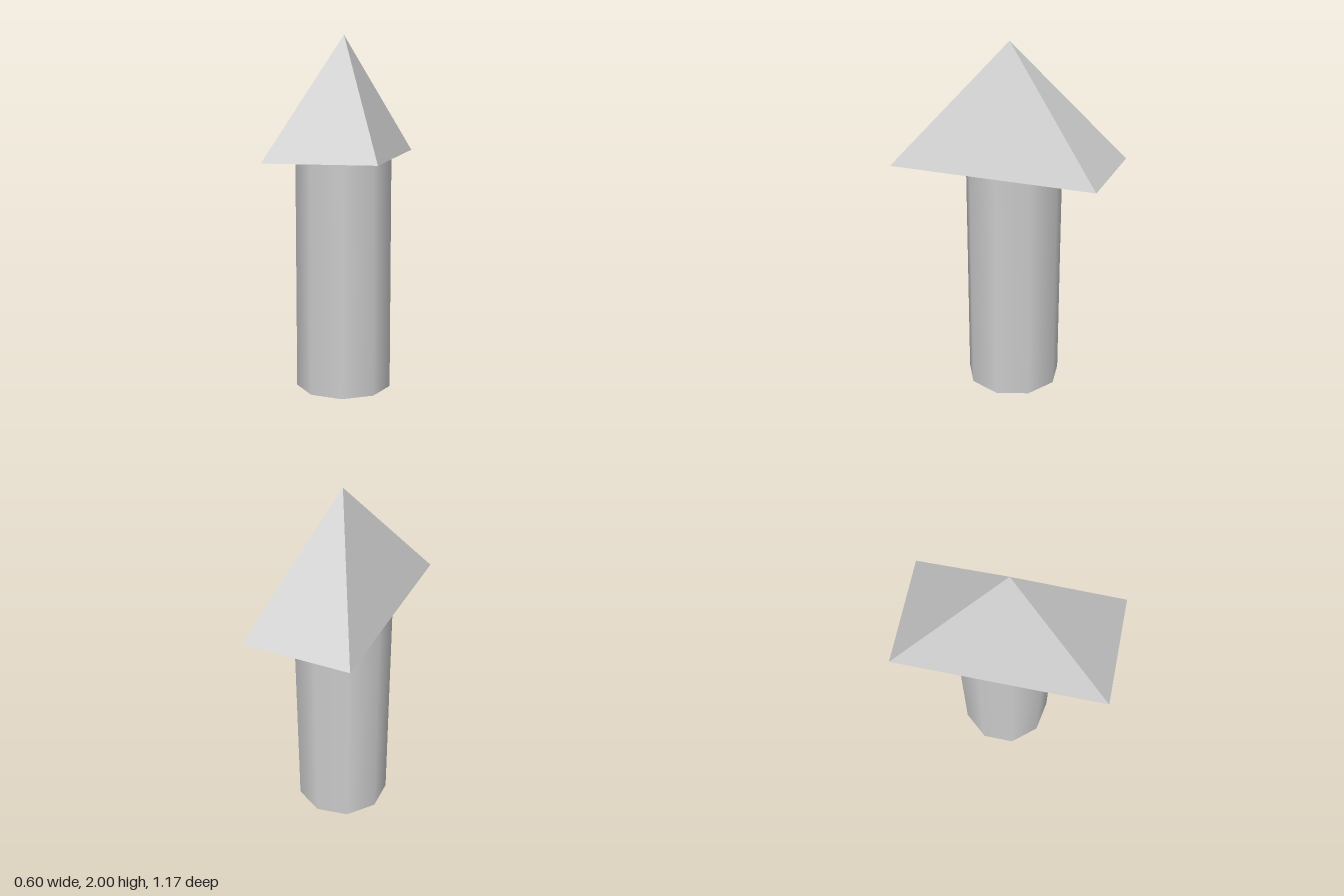
import * as THREE from 'three';

const SHAFT_HEIGHT = 1.333;
const ROOF_HEIGHT = 2 - SHAFT_HEIGHT;

export function createModel() {
  const model = new THREE.Group();
  model.name = 'pyramidCappedColumn';

  // Nine-sided column with smooth sides, one corner facing +x, slightly off centre
  const shaft = new THREE.Mesh(
    new THREE.CylinderGeometry(0.273, 0.273, SHAFT_HEIGHT, 9, 1, false, Math.PI / 2),
    new THREE.MeshStandardMaterial({ color: 0xcccccc })
  );
  shaft.name = 'columnShaft';
  shaft.position.set(-0.007, SHAFT_HEIGHT / 2, -0.023);
  model.add(shaft);

  // Four-sided pyramid: a unit square base stretched to a rectangle
  const roofGeometry = new THREE.ConeGeometry(Math.SQRT2, ROOF_HEIGHT, 4, 1, false, Math.PI / 4);
  roofGeometry.scale(0.299, 1, 0.583);
  const roof = new THREE.Mesh(
    roofGeometry,
    new THREE.MeshStandardMaterial({ color: 0xcccccc, flatShading: true })
  );
  roof.name = 'pyramidCap';
  roof.position.y = SHAFT_HEIGHT + ROOF_HEIGHT / 2;
  model.add(roof);

  return model;
}
